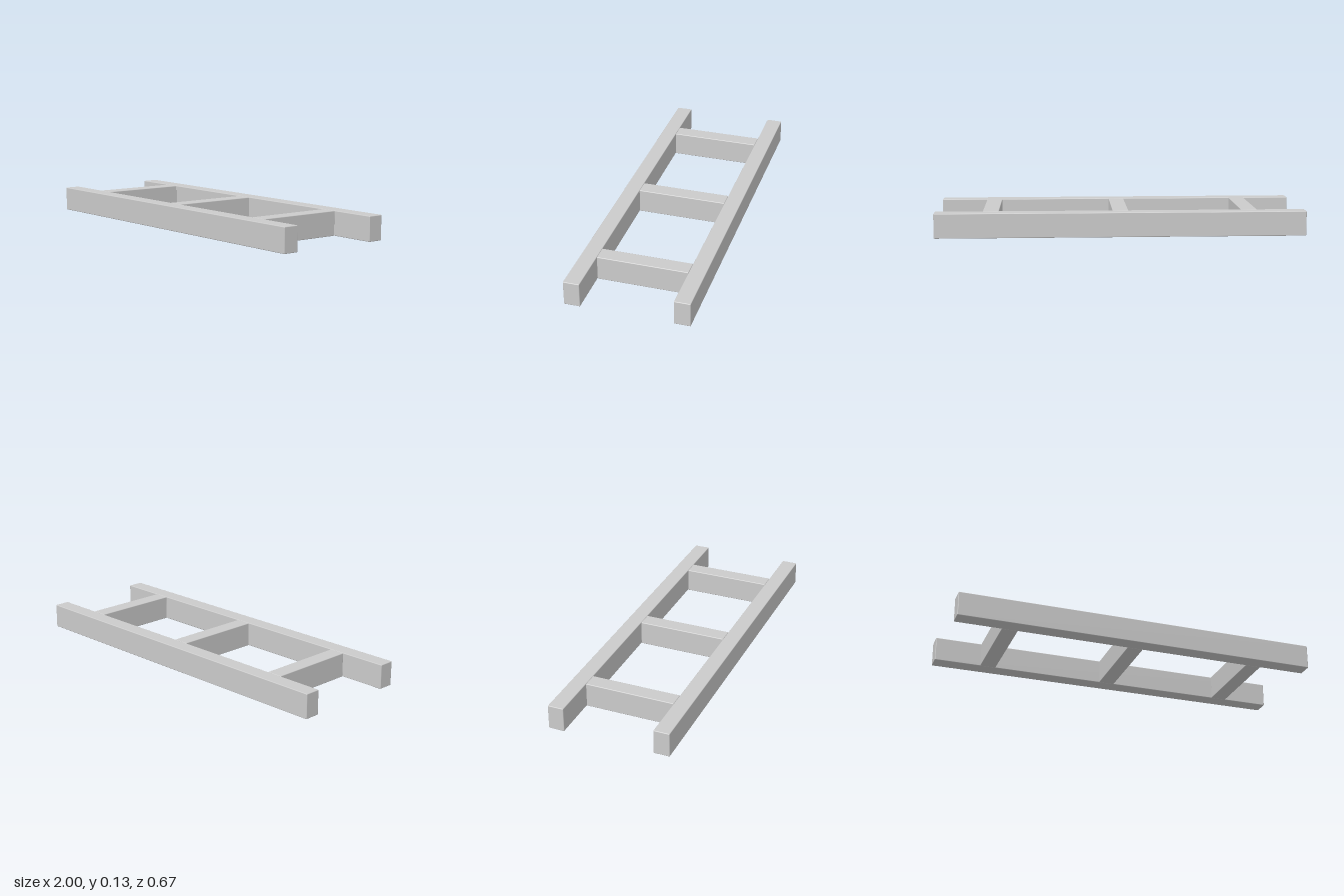
import * as THREE from 'three';
import { RoundedBoxGeometry } from 'three/addons/geometries/RoundedBoxGeometry.js';

const HEIGHT = 0.134;
const THICKNESS = 0.087;
const RAIL_Z = 0.2895;
const EDGE = 0.004;

export function createModel() {
  const group = new THREE.Group();
  group.name = 'ladderFrame';
  const material = new THREE.MeshStandardMaterial({ color: 0xcccccc });

  // Beam with slightly eased edges, standing on the ground
  const addBeam = (name, width, depth, x, z) => {
    const beam = new THREE.Mesh(new RoundedBoxGeometry(width, HEIGHT, depth, 2, EDGE), material);
    beam.name = name;
    beam.position.set(x, HEIGHT / 2, z);
    group.add(beam);
  };

  // Long side rails
  addBeam('frontRail', 2, THICKNESS, 0, RAIL_Z);
  addBeam('backRail', 2, THICKNESS, 0, -RAIL_Z);

  // Cross members fitted between the rails
  const span = 2 * RAIL_Z - THICKNESS;
  [['rightCrossbar', -0.7], ['middleCrossbar', 0], ['leftCrossbar', 0.7]].forEach(([name, x]) =>
    addBeam(name, THICKNESS, span, x, 0));

  return group;
}
